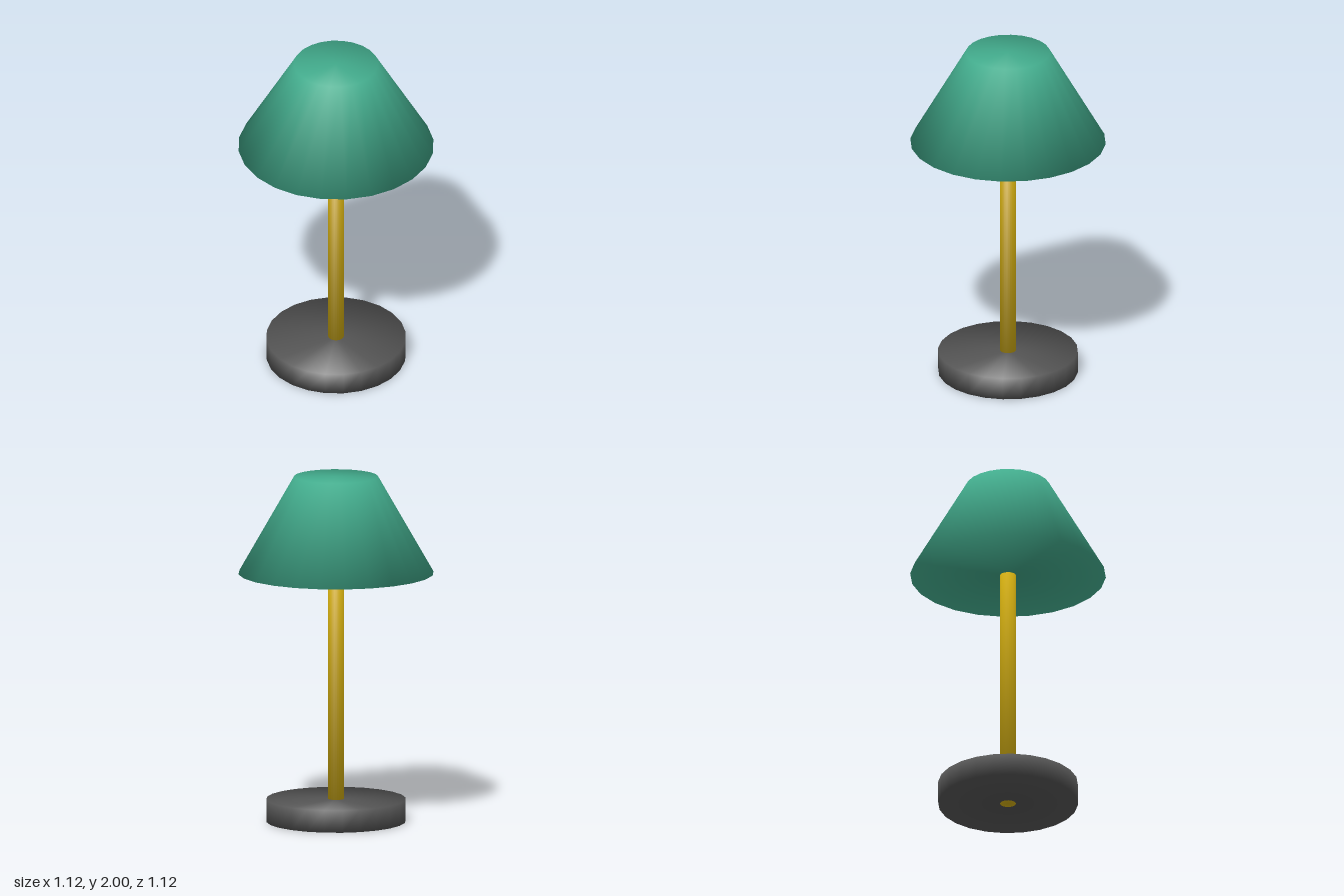
import * as THREE from 'three';
import { mergeVertices } from 'three/addons/utils/BufferGeometryUtils.js';

// Closed round solid whose rim normals blend softly between side and cap
function softCylinder(topRadius, bottomRadius, bottom, top, sides) {
  const height = top - bottom;
  let geometry = new THREE.CylinderGeometry(topRadius, bottomRadius, height, sides);
  geometry.deleteAttribute('uv');
  geometry.deleteAttribute('normal');
  geometry = mergeVertices(geometry, 1e-4);
  geometry.computeVertexNormals();

  const position = geometry.attributes.position;
  const normal = geometry.attributes.normal;
  const n = new THREE.Vector3();
  for (let i = 0; i < position.count; i++) {
    const x = position.getX(i), z = position.getZ(i);
    const cap = Math.sign(position.getY(i));
    const r = Math.hypot(x, z);
    if (r < 1e-5) n.set(0, cap, 0);
    else {
      n.set((x / r) * height, bottomRadius - topRadius, (z / r) * height).normalize();
      n.y += cap * 0.94;
      n.normalize();
    }
    normal.setXYZ(i, n.x, n.y, n.z);
  }
  geometry.translate(0, (bottom + top) / 2, 0);
  return geometry;
}

function material(name, color) {
  const m = new THREE.MeshStandardMaterial({ color });
  m.name = name;
  return m;
}

export function createModel() {
  const group = new THREE.Group();
  group.name = 'tableLamp';

  const add = (name, geometry, mat) => {
    const mesh = new THREE.Mesh(geometry, mat);
    mesh.name = name;
    group.add(mesh);
  };

  // Heavy round foot
  add('base', softCylinder(0.4, 0.4, 0.001, 0.13, 24), material('darkGrey', 0x555555));
  // Pole runs through the foot and up into the shade
  add('pole', softCylinder(0.045, 0.045, 0, 1.6, 24), material('gold', 0xd4af10));
  // Tapered closed shade
  add('shade', softCylinder(0.24, 0.56, 1.44, 2, 24), material('green', 0x42ab8c));

  return group;
}
